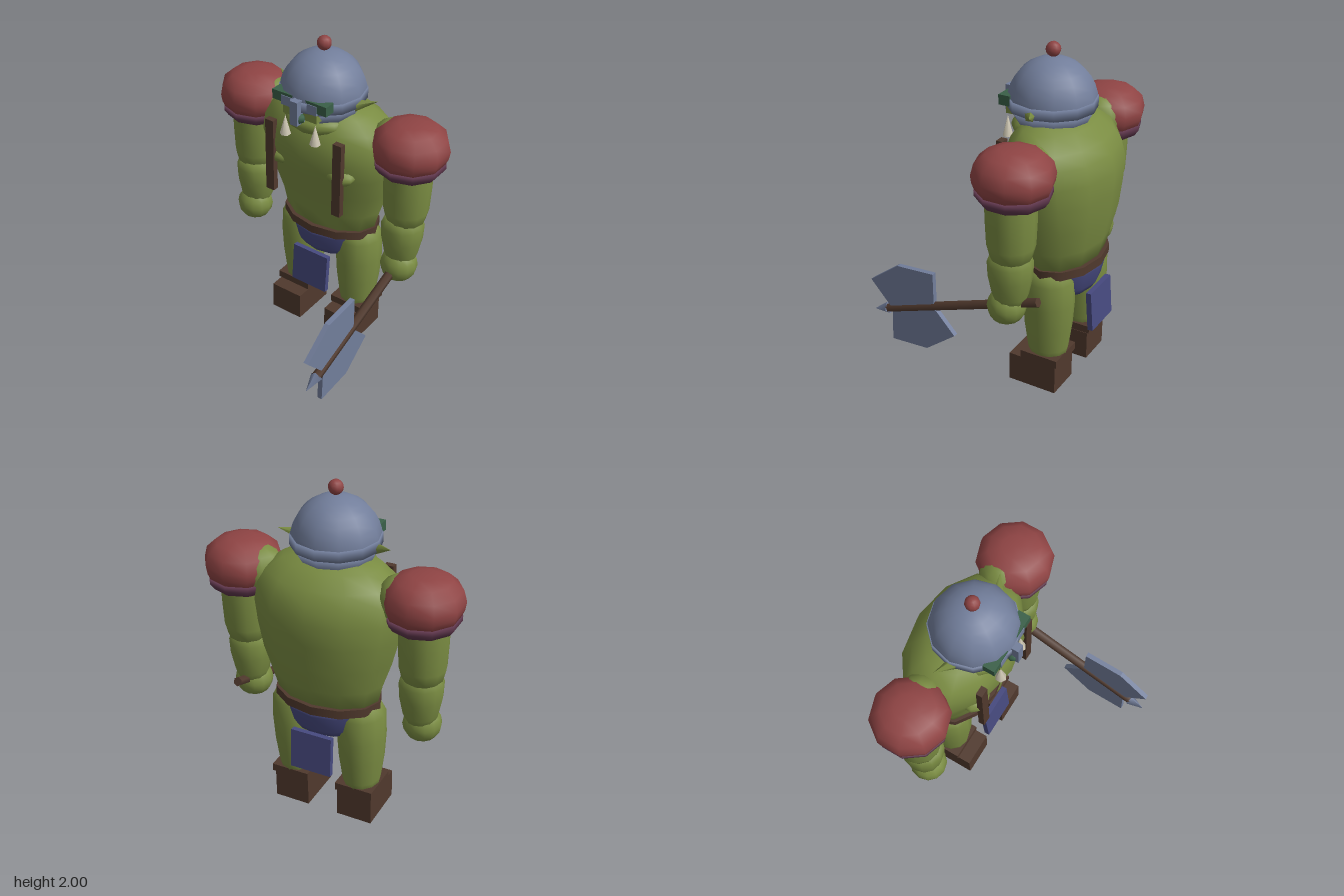
import * as THREE from 'three';
import { mergeVertices } from 'three/addons/utils/BufferGeometryUtils.js';

const paint = (name, color) => {
  const m = new THREE.MeshStandardMaterial({ color });
  m.name = name;
  return m;
};

export function createModel() {
  const model = new THREE.Group();
  model.name = 'axeWarrior';
  const skin = paint('skin green', 0x7a8c42);
  const steel = paint('steel', 0x727e9b);
  const red = paint('shoulder red', 0x8f4444);
  const plum = paint('plum trim', 0x61384e);
  const brown = paint('leather brown', 0x50392d);
  const blue = paint('cloth blue', 0x474a80);
  const darkGreen = paint('dark green', 0x3a6048);
  const ivory = paint('ivory', 0xcfc8b4);

  const add = (name, geo, mat, x = 0, y = 0, z = 0) => {
    const mesh = new THREE.Mesh(geo, mat);
    mesh.name = name;
    mesh.position.set(x, y, z);
    model.add(mesh);
    return mesh;
  };
  // Box given by its minimum and maximum corners
  const box = (name, mat, [x0, y0, z0], [x1, y1, z1]) =>
    add(name, new THREE.BoxGeometry(x1 - x0, y1 - y0, z1 - z0), mat,
      (x0 + x1) / 2, (y0 + y1) / 2, (z0 + z1) / 2);
  const ball = (name, mat, [x, y, z], [rx, ry, rz], w = 12, h = 10) =>
    add(name, new THREE.SphereGeometry(1, w, h).rotateY(Math.PI / 2).scale(rx, ry, rz), mat, x, y, z);
  // Closed round body from [radius, y] points, bottom to top
  const turned = (name, mat, points, x, z, sides = 12, sz = 1) => {
    const p = [[0, points[0][1]], ...points, [0, points.at(-1)[1]]];
    const geo = new THREE.LatheGeometry(p.map(([r, y]) => new THREE.Vector2(r, y)), sides);
    return add(name, geo.scale(1, 1, sz), mat, x, 0, z);
  };
  // Cone or cylinder running from a to b
  const rod = (name, mat, a, b, ra, rb, sides) => {
    const A = new THREE.Vector3(...a), d = new THREE.Vector3(...b).sub(A);
    const mesh = add(name, new THREE.CylinderGeometry(rb, ra, d.length(), sides), mat);
    mesh.position.copy(A).addScaledVector(d, 0.5);
    mesh.quaternion.setFromUnitVectors(new THREE.Vector3(0, 1, 0), d.normalize());
    return mesh;
  };

  // Torso: oval sections [y, half width, centre z, half depth]
  const rings = [[0.76, 0.3, -0.36, 0.185], [0.9, 0.335, -0.365, 0.215], [1.05, 0.385, -0.36, 0.255],
    [1.2, 0.42, -0.345, 0.285], [1.33, 0.44, -0.33, 0.308], [1.43, 0.425, -0.325, 0.285],
    [1.5, 0.385, -0.315, 0.25], [1.57, 0.29, -0.3, 0.19], [1.61, 0.15, -0.29, 0.1]];
  const sides = 12, pos = [], idx = [];
  rings.forEach(([y, rx, zc, rz], j) => {
    for (let i = 0; i < sides; i++) {
      const a = (i / sides) * Math.PI * 2;
      pos.push(rx * Math.sin(a), y, zc + rz * Math.cos(a));
      if (j === rings.length - 1) continue;
      const n = (i + 1) % sides, p = j * sides;
      idx.push(p + i, p + n, p + sides + i, p + n, p + sides + n, p + sides + i);
    }
  });
  const last = (rings.length - 1) * sides;
  for (let i = 1; i < sides - 1; i++) idx.push(last, last + i, last + i + 1, 0, i + 1, i);
  const torso = new THREE.BufferGeometry();
  torso.setAttribute('position', new THREE.Float32BufferAttribute(pos, 3));
  torso.setIndex(idx);
  const torsoGeo = mergeVertices(torso);
  torsoGeo.computeVertexNormals();
  add('torso', torsoGeo, skin);

  // Belt and loincloth
  const belt = new THREE.CylinderGeometry(0.32, 0.32, 0.052, 12).scale(1, 1, 0.68);
  add('belt', belt, brown, 0, 0.767, -0.36);
  turned('loincloth', blue, [[0.1, 0.565], [0.2, 0.575], [0.235, 0.62], [0.262, 0.72], [0.262, 0.75]],
    0, -0.36, 12, 0.8);
  const flap = (name, y, z, h, tilt) => {
    add(name, new THREE.BoxGeometry(0.25, h, 0.032), blue, 0, y, z).rotation.x = tilt;
  };
  flap('frontFlap', 0.475, -0.143, 0.25, -0.07);
  flap('backFlap', 0.49, -0.575, 0.24, 0.08);

  // Helmet, with a bowl covering the back of the head
  add('helmetDome', new THREE.SphereGeometry(0.247, 12, 8, 0, Math.PI * 2, 0, Math.PI / 2)
    .rotateY(Math.PI / 2), steel, 0, 1.67, -0.247);
  turned('helmetBand', steel, [[0.25, 1.64], [0.25, 1.7]], 0, -0.247);
  turned('helmetBowl', steel, [[0.16, 1.52], [0.205, 1.57], [0.243, 1.645]], 0, -0.25);
  ball('helmetKnob', red, [0, 1.958, -0.247], [0.042, 0.042, 0.042], 10, 8);

  // Face
  box('faceSlit', skin, [-0.115, 1.59, -0.12], [0.115, 1.645, -0.022]);
  ball('jaw', skin, [0, 1.53, -0.2], [0.205, 0.085, 0.175]);
  ball('nose', darkGreen, [0, 1.602, -0.005], [0.047, 0.035, 0.035], 8, 6);
  box('visorPlate', steel, [-0.118, 1.645, -0.1], [0.118, 1.702, -0.012]);
  box('goggleStrap', darkGreen, [-0.12, 1.702, -0.08], [0.12, 1.718, -0.016]);
  box('noseGuard', steel, [-0.024, 1.57, -0.04], [0.024, 1.716, 0.035]);

  for (const s of [1, -1]) {
    const side = s > 0 ? 'left' : 'right';
    const span = (name, mat, x0, x1, y0, y1, z0, z1) =>
      box(side + name, mat, [Math.min(s * x0, s * x1), y0, z0], [Math.max(s * x0, s * x1), y1, z1]);

    // Head details
    span('Goggle', darkGreen, 0.115, 0.182, 1.66, 1.718, -0.085, -0.015);
    rod(side + 'Ear', skin, [s * 0.22, 1.65, -0.235], [s * 0.335, 1.685, -0.29], 0.036, 0, 5);
    rod(side + 'Tusk', ivory, [s * 0.105, 1.455, -0.025], [s * 0.1, 1.575, -0.03], 0.032, 0, 6)
      .rotation.set(0, 0, 0);

    // Chest
    span('ChestStrap', brown, 0.206, 0.263, 1.015, 1.485, -0.085, -0.048);
    ball(side + 'Pectoral', skin, [s * 0.21, 1.24, -0.13], [0.092, 0.055, 0.075], 10, 8);

    // Arm
    ball(side + 'Shoulder', skin, [s * 0.43, 1.44, -0.335], [0.145, 0.145, 0.14], 10, 8);
    turned(side + 'UpperArm', skin, [[0.07, 0.95], [0.115, 0.99], [0.132, 1.06], [0.138, 1.2], [0.14, 1.32],
      [0.13, 1.42]], s * 0.545, -0.31);
    turned(side + 'Forearm', skin, [[0.07, 0.68], [0.1, 0.75], [0.122, 0.86], [0.126, 0.95], [0.1, 1.02]],
      s * 0.537, -0.3);
    ball(side + 'Hand', skin, [s * 0.54, 0.675, -0.28], [0.112, 0.11, 0.11], 12, 8);

    // Shoulder armour
    turned(side + 'ShoulderTrim', plum, [[0.182, 1.32], [0.206, 1.355], [0.206, 1.385]], s * 0.54, -0.322, 10);
    turned(side + 'ShoulderPad', red, [[0.195, 1.37], [0.215, 1.42], [0.222, 1.465], [0.205, 1.53],
      [0.15, 1.58], [0.075, 1.605]], s * 0.54, -0.322, 10);

    // Leg and boot
    turned(side + 'Leg', skin, [[0.1, 0.18], [0.112, 0.26], [0.13, 0.4], [0.139, 0.55], [0.135, 0.7],
      [0.1, 0.77]], s * 0.208, -0.36, 12, 1.08);
    span('BootCuff', brown, 0.09, 0.323, 0.185, 0.232, -0.475, -0.24);
    span('Boot', brown, 0.096, 0.312, 0, 0.178, -0.46, -0.16);
  }

  // Axe held in the left hand
  const ax = 0.535;
  rod('axeShaft', brown, [ax, 0.745, -0.47], [ax, 0.385, 0.54], 0.028, 0.028, 6);
  rod('axeSpike', steel, [ax, 0.386, 0.535], [ax, 0.35, 0.638], 0.038, 0, 4);
  const blade = (name, points) => {
    const shape = new THREE.Shape(points.map(([z, y]) => new THREE.Vector2(z, y)));
    const geo = new THREE.ExtrudeGeometry(shape, { depth: 0.03, bevelEnabled: false });
    add(name, geo.translate(0, 0, -0.015).rotateY(-Math.PI / 2), steel, ax);
  };
  blade('upperAxeBlade', [[0.2, 0.72], [0.445, 0.705], [0.64, 0.56], [0.5, 0.405], [0.2, 0.505]]);
  blade('lowerAxeBlade', [[0.505, 0.19], [0.26, 0.205], [0.065, 0.355], [0.2, 0.5], [0.495, 0.405]]);

  return model;
}
